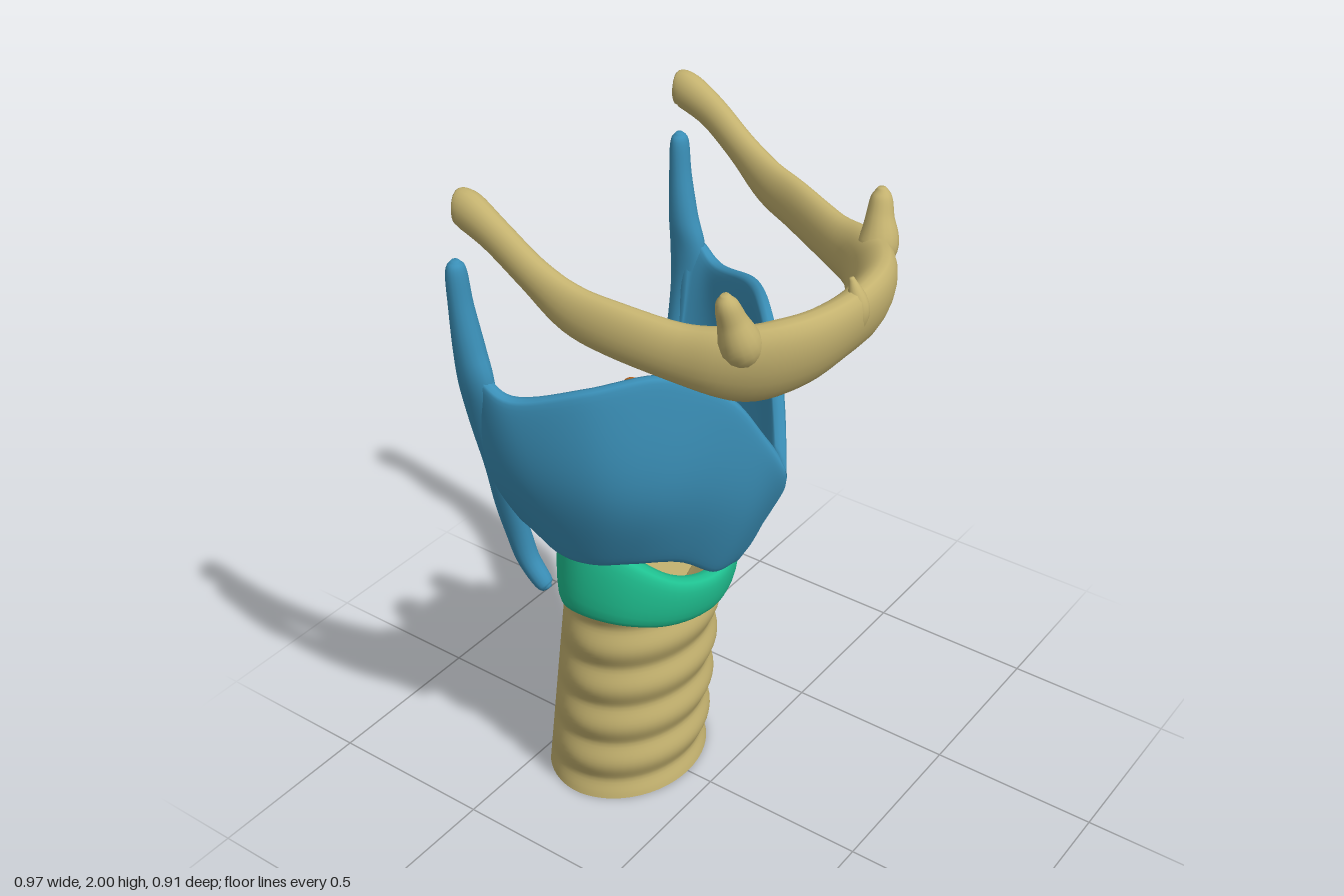
import * as THREE from 'three';
import { toCreasedNormals } from 'three/addons/utils/BufferGeometryUtils.js';

const V = (x, y, z) => new THREE.Vector3(x, y, z);
const curve = (pts, closed = false) => new THREE.CatmullRomCurve3(pts, closed, 'catmullrom', 0.5);
const TAN = 0xc4b26f, BLUE = 0x3a8fb7, GREEN = 0x1fc090, ORANGE = 0xc06a20;

// Skin closed loops; ends: 'cap', 'capLast', 'join' (first to last) or 'open'. Faces outward.
function loft(rings, ends = 'cap') {
  const n = rings[0].length, pos = [], idx = [];
  for (const r of rings) for (const p of r) pos.push(p.x, p.y, p.z);
  const end = rings.length - 1, last = ends === 'join' ? rings.length : end;
  for (let i = 0; i < last; i++) for (let j = 0; j < n; j++) {
    const a = i * n + j, b = i * n + (j + 1) % n, o = ((i + 1) % rings.length) * n;
    const c = o + j, d = o + (j + 1) % n;
    idx.push(a, b, d, a, d, c);
  }
  const caps = { cap: [0, end], capLast: [end] }[ends] ?? [];
  for (const r of caps) {
    const m = rings[r].reduce((s, p) => s.add(p), V(0, 0, 0)).divideScalar(n), k = pos.length / 3;
    pos.push(m.x, m.y, m.z);
    for (let j = 0; j < n; j++) {
      const a = r * n + j, b = r * n + (j + 1) % n;
      if (r) idx.push(k, a, b); else idx.push(k, b, a);
    }
  }
  const at = i => V(pos[3 * i], pos[3 * i + 1], pos[3 * i + 2]);
  let volume = 0;
  for (let i = 0; i < idx.length; i += 3) volume += at(idx[i]).dot(at(idx[i + 1]).cross(at(idx[i + 2])));
  if (volume < 0) idx.reverse();
  const g = new THREE.BufferGeometry();
  g.setAttribute('position', new THREE.Float32BufferAttribute(pos, 3));
  g.setIndex(idx);
  g.computeVertexNormals();
  return g;
}

// Sweep an ellipse along points [x, y, z, halfWidth, halfDepth]
function sweep(pts, ref = V(0, 0, 1), steps = 24, sides = 16) {
  const path = curve(pts.map(p => V(p[0], p[1], p[2])));
  const size = curve(pts.map(p => V(p[3], p[4] ?? p[3], 0)));
  const rings = [];
  for (let i = 0; i <= steps; i++) {
    const c = path.getPoint(i / steps), s = size.getPoint(i / steps), t = path.getTangent(i / steps);
    const side = t.clone().cross(ref).normalize(), up = side.clone().cross(t);
    rings.push(Array.from({ length: sides }, (_, j) => {
      const a = j / sides * Math.PI * 2;
      return c.clone().addScaledVector(side, Math.cos(a) * s.x).addScaledVector(up, Math.sin(a) * s.y);
    }));
  }
  return loft(rings);
}

function mirrored(geometry) {
  const g = geometry.clone().scale(-1, 1, 1);
  g.setIndex(Array.from(g.index.array).reverse());
  g.computeVertexNormals();
  return g;
}

// Windpipe: D-shaped section with front ridges, a hollowed flat back and an open lower end
function tracheaGeometry() {
  const rings = [], H = 0.73, rows = 60, arc = 40, back = 12, corner = 2.27;
  for (let i = 0; i <= rows; i++) {
    const y = H * i / rows, k = y / 0.7;
    const zf = -0.092 + 0.058 * k, zb = -0.455 + 0.095 * k;
    const R = (zf - zb) / (1 - Math.cos(corner)), zc = zf - R, loop = [];
    const wave = 0.5 - 0.5 * Math.cos(2 * Math.PI * (y - 0.06) / 0.148);
    const bump = 0.02 * (wave ** 0.75 - 0.5);
    for (let j = 0; j <= arc; j++) {
      const a = -corner + 2 * corner * j / arc;
      const b = bump * Math.min(1, 3 * (1 - Math.abs(a) / corner));
      loop.push(V(Math.sin(a) * (0.256 + b), y, zc + Math.cos(a) * (R + b)));
    }
    const x0 = loop[arc].x, z0 = loop[arc].z;
    for (let j = 1; j < back; j++) {
      const s = 1 - 2 * j / back;
      loop.push(V(x0 * s, y, z0 + 0.04 * (1 - s * s)));
    }
    rings.push(loop);
  }
  return toCreasedNormals(loft(rings, 'capLast'), 0.7);
}

// Signet-shaped ring: low arch in front, tall plate behind
function cricoidGeometry() {
  // xBottom, zBottom, yBottom, xTop, zTop, yTop, thickness
  const half = [
    [0, -0.015, 0.66, 0, 0.01, 0.80, 0.07], [0.13, -0.05, 0.67, 0.125, -0.03, 0.83, 0.075],
    [0.22, -0.13, 0.69, 0.203, -0.13, 0.91, 0.08], [0.258, -0.24, 0.70, 0.226, -0.245, 0.98, 0.08],
    [0.235, -0.315, 0.70, 0.175, -0.325, 1.05, 0.08], [0.12, -0.345, 0.70, 0.1, -0.37, 1.075, 0.08],
    [0, -0.365, 0.68, 0, -0.4, 1.055, 0.09]];
  const all = [...half, ...half.slice(1, -1).reverse().map(s => [-s[0], s[1], s[2], -s[3], ...s.slice(4)])];
  const low = curve(all.map(s => V(s[0], s[2], s[1])), true);
  const high = curve(all.map(s => V(s[3], s[5], s[4])), true);
  const thick = curve(all.map(s => V(s[6], 0, 0)), true);
  const rings = [];
  for (let i = 0; i < 72; i++) {
    const u = i / 72, b = low.getPoint(u), t = high.getPoint(u), w = thick.getPoint(u).x / 2;
    const tan = low.getTangent(u), n = V(tan.z, 0, -tan.x).normalize();
    rings.push(Array.from({ length: 20 }, (_, j) => {
      const a = j / 20 * Math.PI * 2, s = Math.sin(a);
      return b.clone().lerp(t, 0.5 - 0.5 * Math.cos(a)).addScaledVector(n, w * Math.sign(s) * Math.abs(s) ** 0.5);
    }));
  }
  return loft(rings, 'join');
}

// One shield plate, from the front ridge to the rear border
function laminaGeometry() {
  const rows = [
    [[0, .85, .095], [.09, .86, .08], [.17, .915, .02], [.25, .915, -.075], [.305, .905, -.17], [.335, .92, -.26], [.34, .97, -.35], [.325, .98, -.43]],
    [[0, 1.02, .17], [.08, 1.1, .165], [.18, 1.18, .1], [.285, 1.2, .02], [.372, 1.2, -.09], [.425, 1.2, -.25], [.432, 1.2, -.37], [.405, 1.2, -.43]],
    [[0, 1.18, .255], [.05, 1.31, .215], [.12, 1.45, .15], [.235, 1.53, .04], [.375, 1.508, -.1], [.46, 1.462, -.27], [.483, 1.5, -.36], [.462, 1.55, -.43]],
  ].map(r => curve(r.map(p => V(...p))));
  const at = (u, v) => curve(rows.map(r => r.getPoint(THREE.MathUtils.clamp(u, 0, 1)))).getPoint(v);
  const rings = [], U = 48, N = 44;
  for (let i = 0; i <= U; i++) {
    const u = i / U, t = 0.055 * Math.sqrt(Math.min(1, (1 - u) / 0.06));
    rings.push(Array.from({ length: N }, (_, j) => {
      const a = j / N * Math.PI * 2, s = Math.sin(a), v = 0.5 - 0.5 * Math.cos(a), p = at(u, v);
      const du = at(u + 0.01, v).sub(at(u - 0.01, v));
      const v0 = Math.max(0, v - 0.01), v1 = Math.min(1, v + 0.01);
      const n = du.cross(at(u, v1).sub(at(u, v0))).normalize();
      if (n.x * p.x + n.z * (p.z + 0.35) < 0) n.negate();
      if (i === 0) n.set(0, 0, 1.25);
      p.addScaledVector(n, t / 2 * (Math.sign(s) * Math.abs(s) ** 0.4 - 1));
      p.x = Math.max(0, p.x);
      return p;
    }));
  }
  return loft(rings, 'open');
}

// U-shaped bone at the top, its front body leaning forward
function hyoidGeometry() {
  const half = [
    [.13, 1.685, .372, .06, .113], [.23, 1.68, .325, .058, .115], [.305, 1.69, .25, .05, .095],
    [.345, 1.7, .15, .044, .078], [.393, 1.735, 0, .038, .073], [.415, 1.765, -.1, .036, .066],
    [.43, 1.83, -.2, .034, .048], [.438, 1.903, -.3, .035, .046], [.437, 1.945, -.38, .04, .052],
    [.437, 1.948, -.41, .034, .046], [.437, 1.948, -.42, .015, .02]];
  const left = half.slice().reverse().map(p => [-p[0], ...p.slice(1)]);
  const g = sweep([...left, [0, 1.69, .387, .057, .105], ...half], V(0, 1, 0), 110, 20);
  const p = g.attributes.position;
  for (let i = 0; i < p.count; i++) {
    const lean = THREE.MathUtils.smoothstep(p.getZ(i), 0.15, 0.35);
    p.setZ(i, p.getZ(i) + lean * 0.28 * (p.getY(i) - 1.69));
  }
  g.computeVertexNormals();
  return g;
}

export function createModel() {
  const model = new THREE.Group();
  const materials = {};
  const add = (name, geometry, color) => {
    materials[color] ??= new THREE.MeshStandardMaterial({ color, side: THREE.DoubleSide });
    const mesh = new THREE.Mesh(geometry, materials[color]);
    mesh.name = name;
    model.add(mesh);
    return mesh;
  };
  const pair = (name, geometry, color) => {
    add(name + 'Left', geometry, color);
    add(name + 'Right', mirrored(geometry), color);
  };

  add('trachea', tracheaGeometry(), TAN);
  add('cricoidRing', cricoidGeometry(), GREEN);

  // Shield plates; lower horn, thick rear border and upper horn run on as one rod
  pair('shieldPlate', laminaGeometry(), BLUE);
  pair('shieldHorns', sweep([[.293, .765, -.335, .01, .012], [.295, .78, -.35, .026, .026], [.304, .85, -.393, .031, .032],
    [.318, .94, -.41, .032, .036], [.348, 1.05, -.412, .03, .038], [.393, 1.2, -.402, .026, .034],
    [.43, 1.35, -.4, .027, .04], [.447, 1.47, -.395, .034, .055], [.448, 1.57, -.41, .038, .043],
    [.452, 1.69, -.422, .033, .03], [.455, 1.785, -.426, .028, .024], [.455, 1.812, -.426, .01, .01]], V(0, 0, 1), 60), BLUE);

  // Upper bone with its small horns and central bump
  add('hyoidBone', hyoidGeometry(), TAN);
  pair('smallHorn', sweep([[.26, 1.69, .28, .03], [.3, 1.75, .298, .052], [.322, 1.82, .288, .036],
    [.335, 1.865, .282, .027], [.338, 1.89, .28, .01]]), TAN);
  add('hyoidBump', sweep([[0, 1.66, .395, .03], [0, 1.75, .425, .03], [0, 1.825, .405, .006]]), TAN);

  // Pivot cartilages with a side process
  pair('arytenoid', sweep([[.11, 1.02, -.315, .065, .06], [.102, 1.1, -.325, .052, .05], [.095, 1.17, -.335, .038, .038],
    [.082, 1.228, -.322, .027, .027], [.048, 1.24, -.283, .012, .012]]), ORANGE);
  pair('arytenoidProcess', sweep([[.09, 1.09, -.32, .042], [.14, 1.08, -.265, .042], [.175, 1.075, -.225, .025],
    [.195, 1.075, -.205, .01]], V(0, 1, 0)), ORANGE);

  // Vocal cords: three strands each, meeting at a front plate
  for (const k of [-1, 0, 1]) {
    const o = k * 0.012;
    pair('vocalCord', sweep([[.178 + o, 1.075, -.21 + o / 2, .009, .012], [.042 + o, 1.06, .065 + o / 2, .009, .012]],
      V(0, 1, 0), 4, 8), ORANGE);
  }
  const plate = add('cordPlate', new THREE.BoxGeometry(0.09, 0.05, 0.03), ORANGE);
  plate.position.set(0, 1.065, 0.07);

  // Front membrane between shield and ring
  add('frontMembrane', sweep([[0, .98, .05, .035, .007], [0, .88, 0, .05, .007], [0, .74, -.06, .07, .007]]), TAN);

  return model;
}
